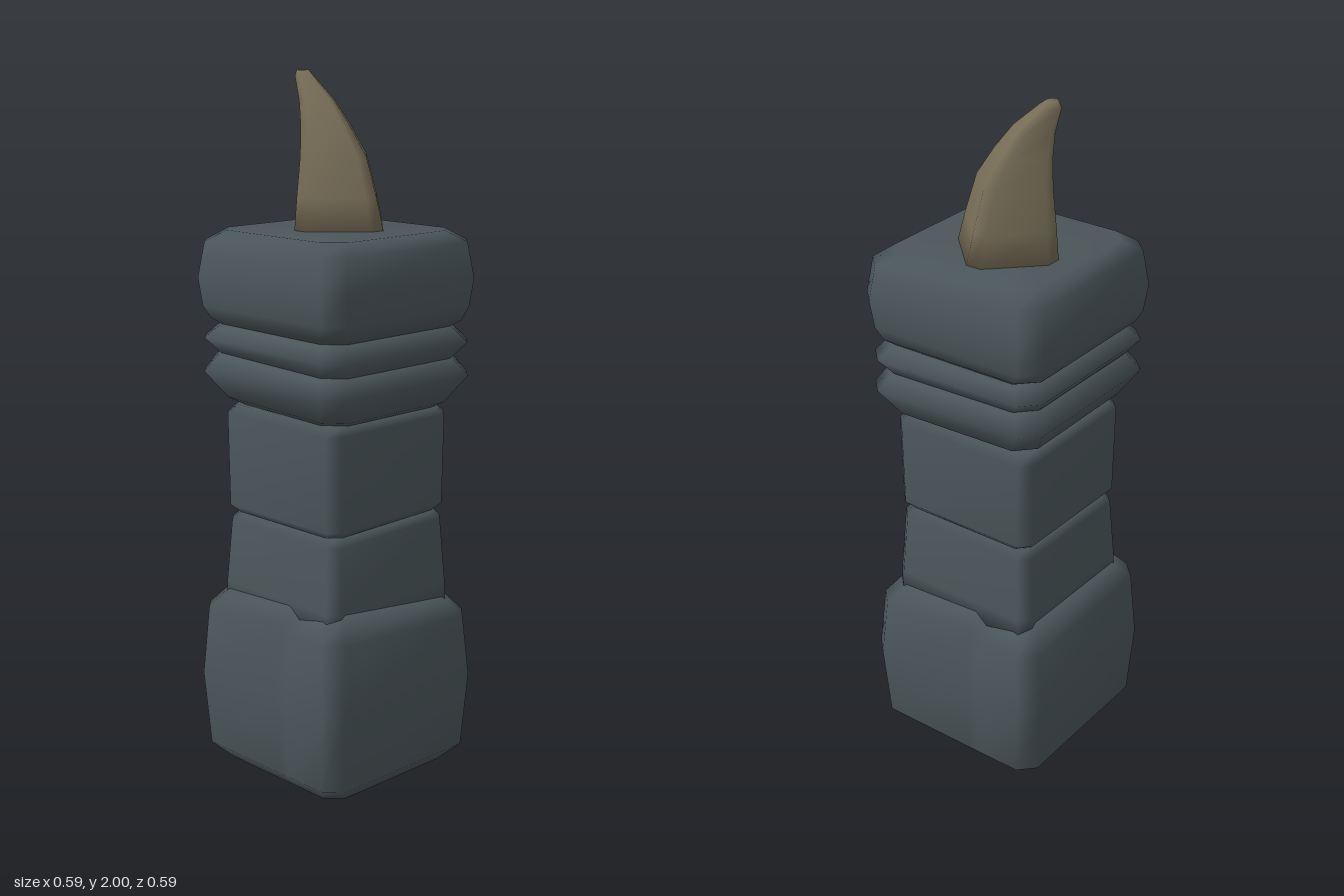
import * as THREE from 'three';

const stone = new THREE.MeshStandardMaterial({ color: 0x4b565a });
stone.name = 'slate stone';
const bone = new THREE.MeshStandardMaterial({ color: 0x776d57 });
bone.name = 'dull horn';

// Square section with cut corners; the extra points on front and back allow chipped edges
function section({ y, hx, hz = hx, cut = 0.05, cx = 0, cz = 0, chips = [] }) {
  const fx = hx - cut, fz = hz - cut;
  const points = [
    [hx, -fz], [hx, fz], [fx, hz],
    ...chips.map(x => [x, hz]),
    [-fx, hz], [-hx, fz], [-hx, -fz], [-fx, -hz],
    ...chips.map(x => [-x, -hz]),
    [fx, -hz],
  ];
  return points.map(([x, z]) => new THREE.Vector3(x + cx, y, z + cz));
}

// Smooth closed skin through a stack of sections
function loft(name, rings, material) {
  const n = rings[0].length, last = rings.length - 1;
  const points = rings.flat();
  const index = [];
  for (let r = 0; r < last; r++) {
    for (let i = 0; i < n; i++) {
      const a = r * n + i, b = r * n + (i + 1) % n;
      index.push(a, a + n, b, b, a + n, b + n);
    }
  }
  const middle = ring => ring.reduce((s, p) => s.add(p), new THREE.Vector3()).divideScalar(n);
  const bottom = points.push(middle(rings[0])) - 1;
  const top = points.push(middle(rings[last])) - 1;
  for (let i = 0; i < n; i++) {
    const j = (i + 1) % n;
    index.push(bottom, i, j, top, last * n + j, last * n + i);
  }
  const geometry = new THREE.BufferGeometry().setFromPoints(points);
  geometry.setIndex(index);
  geometry.computeVertexNormals();
  const mesh = new THREE.Mesh(geometry, material);
  mesh.name = name;
  return mesh;
}

// Stone block from [height, half width, tilt along x, tilt along z] rows
function block(name, rows, cut = 0.05) {
  const rings = rows.map(([y, hx, tx = 0, tz = 0]) => {
    const ring = section({ y, hx, cut });
    ring.forEach(p => { p.y += p.x * tx + p.z * tz; });
    return ring;
  });
  return loft(name, rings, stone);
}

export function createModel() {
  const model = new THREE.Group();
  model.name = 'hornedPillar';

  // Foot block, with its upper front and back edges chipped
  const footRows = [[0, 0.235], [0.05, 0.283], [0.27, 0.297], [0.475, 0.283], [0.528, 0.24]];
  const footRings = footRows.map(([y, hx], level) => {
    const ring = section({ y, hx, cut: 0.045, chips: [0.1, 0.06] });
    ring.forEach(p => {
      const side = Math.sign(p.z);
      if (level > 2) p.y += p.z * 0.045 + p.x * side * 0.05;
      if (level > 2 && p.x * side > 0.08 && Math.abs(p.z) > 0.2) {
        p.y -= 0.02;
        if (p.x * side < 0.15) p.z -= side * 0.012;
      }
    });
    return ring;
  });
  model.add(loft('footBlock', footRings, stone));

  // Two shaft stones
  model.add(block('lowerShaft', [
    [0.48, 0.24], [0.55, 0.238], [0.74, 0.226, 0, -0.02], [0.766, 0.205, 0, -0.02],
  ], 0.03));
  model.add(block('upperShaft', [
    [0.76, 0.205, 0, -0.02], [0.785, 0.229, 0, -0.02], [1.05, 0.232], [1.075, 0.212],
  ], 0.03));

  // Ridged collar
  model.add(block('lowerCollar', [
    [1.07, 0.2, -0.03], [1.095, 0.24, -0.03], [1.17, 0.287, -0.02],
    [1.215, 0.26, -0.03], [1.228, 0.24, -0.03],
  ]));
  model.add(block('upperCollar', [
    [1.21, 0.24, -0.03], [1.225, 0.255, -0.03], [1.265, 0.285, -0.02],
    [1.3, 0.258, -0.01], [1.315, 0.24, -0.01],
  ]));

  // Capstone
  model.add(block('capstone', [
    [1.3, 0.24, -0.01], [1.325, 0.272, -0.01], [1.36, 0.287], [1.44, 0.296],
    [1.54, 0.282], [1.572, 0.238],
  ]));

  // Horn curving toward its right, rows: height, x range, z range
  const hornRings = [
    [1.55, -0.176, 0.132, -0.19, 0.117],
    [1.66, -0.168, 0.1, -0.172, 0.098],
    [1.77, -0.157, 0.067, -0.145, 0.076],
    [1.85, -0.152, 0.017, -0.108, 0.055],
    [1.92, -0.157, -0.037, -0.075, 0.035],
    [1.985, -0.174, -0.11, -0.042, 0.014],
    [2.0, -0.162, -0.13, -0.034, 0.008],
  ].map(([y, x0, x1, z0, z1]) => {
    const hx = (x1 - x0) / 2, hz = (z1 - z0) / 2;
    return section({
      y, hx, hz, cut: Math.min(hx, hz) * 0.85,
      cx: (x0 + x1) / 2, cz: (z0 + z1) / 2,
    });
  });
  model.add(loft('horn', hornRings, bone));

  return model;
}
